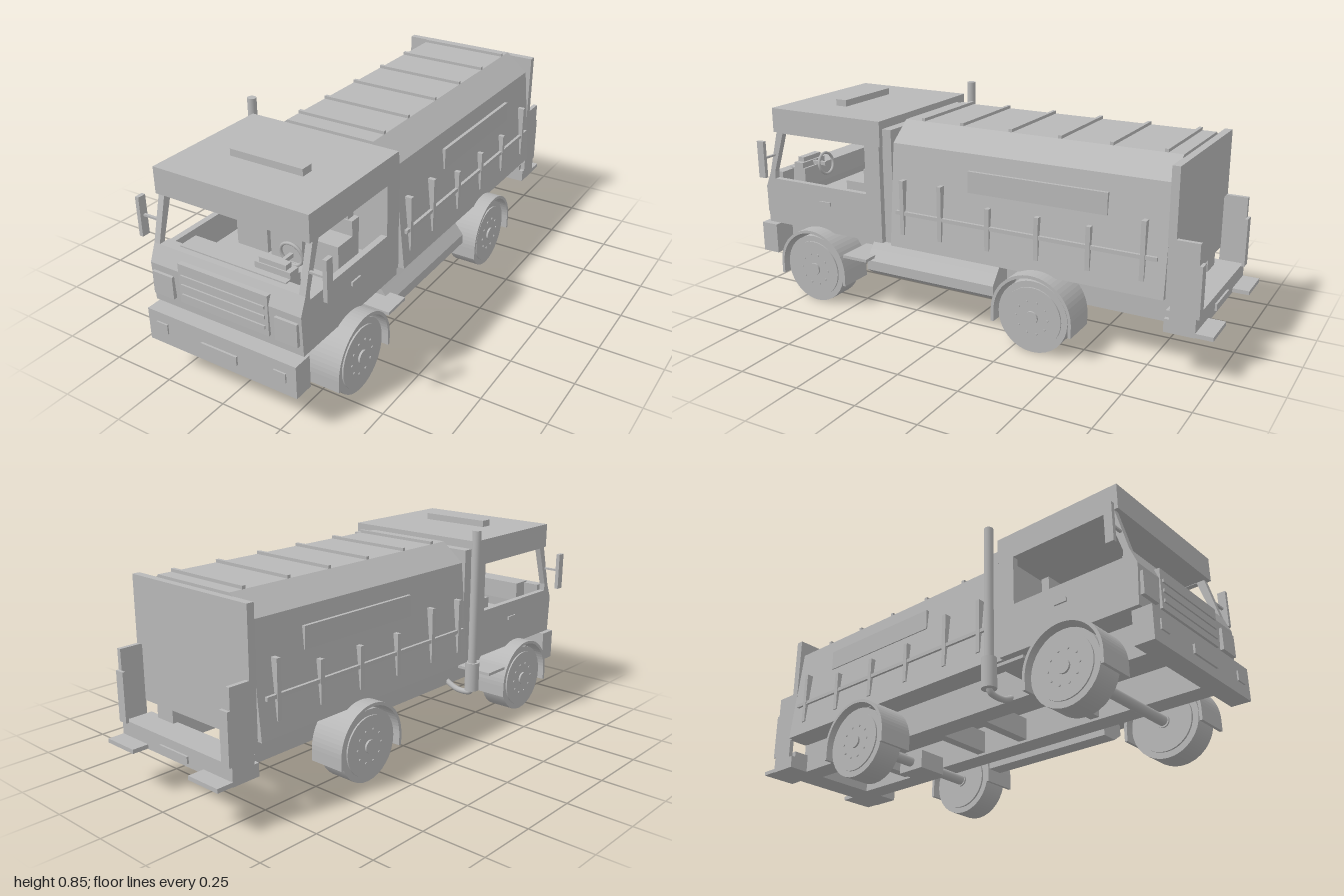
import * as THREE from 'three';

export function createModel() {
  const truck = new THREE.Group();
  truck.name = 'truck';
  const grey = new THREE.MeshStandardMaterial({ color: 0xb8b8b8 });
  grey.name = 'plain grey';

  const add = (name, geometry) => {
    const mesh = new THREE.Mesh(geometry, grey);
    mesh.name = name;
    truck.add(mesh);
    return mesh;
  };
  // Box from its limits on each axis
  const box = (name, x0, x1, y0, y1, z0, z1) => {
    const g = new THREE.BoxGeometry(x1 - x0, y1 - y0, z1 - z0);
    g.translate((x0 + x1) / 2, (y0 + y1) / 2, (z0 + z1) / 2);
    return add(name, g);
  };
  // The same box on both sides
  const pair = (name, x0, x1, ...rest) => {
    box(name + 'Left', x0, x1, ...rest);
    box(name + 'Right', -x1, -x0, ...rest);
  };
  const shapeOf = (points) => new THREE.Shape(points.map((p) => new THREE.Vector2(...p)));
  // Side outline given as (z, y), extruded across x0..x1
  const across = (name, shape, x0, x1) => {
    const g = new THREE.ExtrudeGeometry(shape, { depth: x1 - x0, bevelEnabled: false, curveSegments: 16 });
    g.rotateY(-Math.PI / 2).translate(x1, 0, 0);
    return add(name, g);
  };
  // Cross-section given as (x, y), extruded along z0..z1
  const along = (name, points, z0, z1) => {
    const g = new THREE.ExtrudeGeometry(shapeOf(points), { depth: z1 - z0, bevelEnabled: false });
    return add(name, g.translate(0, 0, z0));
  };
  // Cylinder lying along x
  const axleCylinder = (name, r, x0, x1, y, z, sides = 32) => {
    const g = new THREE.CylinderGeometry(r, r, x1 - x0, sides);
    return add(name, g.rotateZ(Math.PI / 2).translate((x0 + x1) / 2, y, z));
  };

  // Chassis
  pair('chassisRail', 0.13, 0.22, 0.17, 0.297, -0.84, 0.92);
  for (const z of [0.45, 0.1, -0.12, -0.55]) box('crossMember', -0.13, 0.13, 0.18, 0.27, z - 0.02, z + 0.02);

  // Cab shell
  const side = shapeOf([[0.36, 0.295], [0.945, 0.295], [0.952, 0.45], [0.925, 0.515], [0.875, 0.7], [0.36, 0.7]]);
  side.holes.push(new THREE.Path([[0.43, 0.49], [0.43, 0.69], [0.845, 0.69], [0.9, 0.52], [0.9, 0.49]]
    .map((p) => new THREE.Vector2(...p))));
  across('cabSideLeft', side, 0.295, 0.32);
  across('cabSideRight', side, -0.32, -0.295);
  across('cabFront', shapeOf([[0.9, 0.295], [0.945, 0.295], [0.952, 0.45], [0.925, 0.515], [0.88, 0.515]]), -0.295, 0.295);
  box('cabFloor', -0.295, 0.295, 0.295, 0.38, 0.38, 0.91);
  box('cabRearWall', -0.295, 0.295, 0.295, 0.7, 0.36, 0.4);
  box('cabRoof', -0.32, 0.32, 0.692, 0.793, 0.355, 0.893);
  box('roofLamp', -0.153, 0.153, 0.793, 0.82, 0.64, 0.69);
  box('cabRearFrame', -0.3, 0.3, 0.295, 0.76, 0.315, 0.357);

  // Cab interior
  for (const x of [-0.155, 0, 0.155]) {
    box('seatCushion', x - 0.07, x + 0.07, 0.38, 0.5, 0.47, 0.6);
    box('seatBack', x - 0.07, x + 0.07, 0.5, 0.56, 0.465, 0.51);
    box('headrest', x - 0.05, x + 0.05, 0.56, 0.628, 0.472, 0.505);
  }
  box('dashboard', -0.225, 0.225, 0.44, 0.52, 0.82, 0.9);
  box('instrumentPanel', 0.08, 0.225, 0.52, 0.543, 0.83, 0.875);
  box('instrumentHood', 0.095, 0.205, 0.543, 0.562, 0.84, 0.87);
  const steering = add('steeringWheel', new THREE.TorusGeometry(0.045, 0.006, 8, 24));
  steering.position.set(0.15, 0.535, 0.765);
  steering.rotation.x = 0.15;
  box('steeringColumn', 0.143, 0.157, 0.525, 0.54, 0.765, 0.83);

  // Front details
  box('grille', -0.19, 0.19, 0.333, 0.488, 0.93, 0.957);
  for (const y of [0.366, 0.405, 0.442]) box('grilleSlat', -0.178, 0.178, y - 0.006, y + 0.006, 0.95, 0.963);
  pair('headlight', 0.218, 0.308, 0.335, 0.423, 0.93, 0.962);
  box('frontBumper', -0.32, 0.32, 0.155, 0.282, 0.915, 0.992);
  pair('bumperLamp', 0.23, 0.28, 0.205, 0.243, 0.99, 0.998);
  box('frontPlate', -0.077, 0.077, 0.195, 0.23, 0.99, 1);
  pair('mirrorArm', 0.31, 0.385, 0.589, 0.597, 0.892, 0.902);
  pair('mirror', 0.382, 0.398, 0.513, 0.667, 0.883, 0.916);
  pair('doorHandle', 0.32, 0.327, 0.412, 0.427, 0.612, 0.665);

  // Cargo body with sloping shoulders
  const half = [[0.325, 0.295], [0.283, 0.707], [0.19, 0.783]];
  along('cargoBody', [...half, ...half.map(([x, y]) => [-x, y]).reverse()], -0.822, 0.315);
  const ribs = [0.258, 0.086, -0.123, -0.328, -0.533, -0.738];
  for (const z of [0.235, 0.06, -0.15, -0.355, -0.557, -0.76])
    box('roofRib', -0.19, 0.19, 0.78, 0.795, z - 0.007, z + 0.007);
  ribs.forEach((z, i) => {
    const top = i > 1 && i < 5 ? 0.515 : 0.57;
    pair('sideRib', 0.29, 0.325, 0.35, top, z - 0.009, z + 0.009);
  });
  pair('sideRail', 0.29, 0.322, 0.43, 0.445, -0.79, 0.29);
  pair('sidePanel', 0.27, 0.303, 0.56, 0.643, -0.595, -0.03);

  // Side tank on the left between the wheels
  along('sideTank', [[0.22, 0.28], [0.22, 0.145], [0.29, 0.145], [0.333, 0.175],
    [0.333, 0.215], [0.3, 0.255], [0.28, 0.28]], -0.155, 0.43);

  // Exhaust stack on the right
  const stack = add('exhaustStack', new THREE.CylinderGeometry(0.018, 0.018, 0.565, 16, 1));
  stack.position.set(-0.342, 0.5625, 0.33);
  const muffler = add('muffler', new THREE.CylinderGeometry(0.029, 0.029, 0.12, 20));
  muffler.position.set(-0.342, 0.235, 0.33);
  const pipePath = new THREE.CatmullRomCurve3([[-0.342, 0.18, 0.33], [-0.335, 0.165, 0.33], [-0.27, 0.16, 0.33], [-0.2, 0.19, 0.33]]
    .map((p) => new THREE.Vector3(...p)));
  add('exhaustPipe', new THREE.TubeGeometry(pipePath, 16, 0.012, 10));

  // Wheels, axles, fenders and mud flaps
  for (const z of [0.675, -0.338]) {
    axleCylinder('axle', 0.021, -0.25, 0.25, 0.143, z, 16);
    const r = 0.165, cy = 0.147;
    const fender = new THREE.Shape();
    fender.moveTo(z + r, 0.1);
    fender.lineTo(z + r, cy);
    fender.absarc(z, cy, r, 0, Math.PI, false);
    fender.lineTo(z - r, 0.1);
    fender.lineTo(z - r + 0.012, 0.1);
    fender.lineTo(z - r + 0.012, cy);
    fender.absarc(z, cy, r - 0.012, Math.PI, 0, true);
    fender.lineTo(z + r - 0.012, 0.1);
    for (const s of [-1, 1]) {
      const span = (a, b) => (s > 0 ? [a, b] : [-b, -a]);
      axleCylinder('tyre', 0.142, ...span(0.255, 0.362), 0.142, z);
      axleCylinder('rim', 0.118, ...span(0.247, 0.368), 0.142, z);
      axleCylinder('hub', 0.026, ...span(0.24, 0.376), 0.142, z, 20);
      for (let i = 0; i < 10; i++) {
        const a = (i / 10) * Math.PI * 2;
        axleCylinder('wheelNut', 0.005, ...span(0.36, 0.372), 0.142 + 0.065 * Math.sin(a), z + 0.065 * Math.cos(a), 6);
      }
      across('fender', fender, ...span(0.235, 0.382));
    }
  }
  box('differential', -0.063, 0.063, 0.105, 0.18, -0.4, -0.275);
  pair('cabStep', 0.22, 0.38, 0.224, 0.236, 0.4, 0.515);

  // Tailgate and open rear platform
  box('tailgate', -0.305, 0.305, 0.297, 0.772, -0.842, -0.82);
  box('tailgateUpperPanel', -0.305, 0.305, 0.515, 0.772, -0.85, -0.842);
  pair('platformWing', 0.287, 0.305, 0.22, 0.515, -0.935, -0.84);
  pair('platformPost', 0.265, 0.305, 0.24, 0.435, -0.947, -0.935);
  box('platformFloor', -0.287, 0.287, 0.22, 0.245, -0.935, -0.82);
  box('rearBumper', -0.305, 0.305, 0.17, 0.22, -0.935, -0.82);
  box('rearPlate', -0.077, 0.077, 0.185, 0.212, -0.943, -0.935);
  pair('rearStep', 0.155, 0.305, 0.172, 0.188, -1, -0.92);

  return truck;
}
